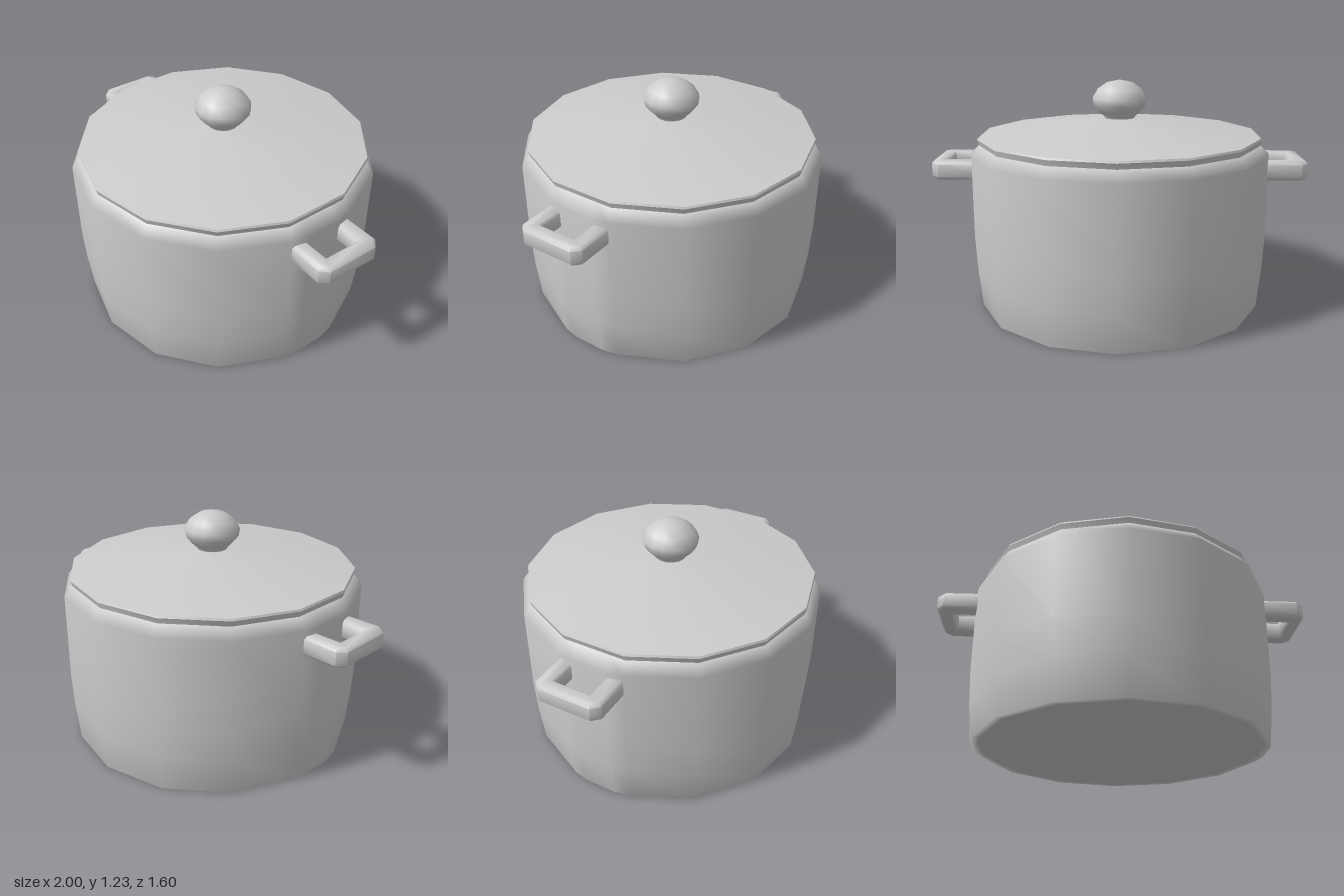
import * as THREE from 'three';
import { mergeVertices, toCreasedNormals } from 'three/addons/utils/BufferGeometryUtils.js';

const SIDES = 14;
const material = new THREE.MeshStandardMaterial({ color: 0xcccccc });
const toPoints = (profile) => profile.map(([r, y]) => new THREE.Vector2(r, y));

function addMesh(parent, name, geometry) {
  const mesh = new THREE.Mesh(geometry, material);
  mesh.name = name;
  parent.add(mesh);
  return mesh;
}

// Weld seams so normals run smoothly over the whole surface
function smooth(geometry) {
  geometry.deleteAttribute('uv');
  geometry.deleteAttribute('normal');
  const welded = mergeVertices(geometry, 1e-4);
  welded.computeVertexNormals();
  return welded;
}

// Fourteen-sided pot, with two extra columns on each side for a flat handle pad
function potGeometry() {
  const step = (Math.PI * 2) / SIDES;
  const columns = [];
  for (let i = 0; i <= SIDES; i++) {
    columns.push({ angle: i * step, pad: false });
    if (i === 3 || i === 10) {
      const middle = (i + 0.5) * step;
      columns.push({ angle: middle - 0.112, pad: true }, { angle: middle + 0.112, pad: true });
    }
  }
  const profile = [
    [0, 0], [0.73, 0], [0.77, 0], [0.79, 0.2], [0.8, 0.39],
    [0.8, 0.84], [0.76, 0.895], [0.7, 0.9], [0, 0.9],
  ];
  const geometry = new THREE.LatheGeometry(toPoints(profile), columns.length - 1);
  const position = geometry.attributes.position;
  for (let k = 0; k < position.count; k++) {
    const { angle, pad } = columns[Math.floor(k / profile.length)];
    const [r, y] = profile[k % profile.length];
    const radius = pad && y < 0.88 ? r * 1.005 : pad ? r * 0.981 : r;
    position.setXYZ(k, Math.sin(angle) * radius, y, Math.cos(angle) * radius);
  }
  return smooth(geometry);
}

// Square loop handle with chamfered corners and softened edges
function handleGeometry() {
  const bevel = 0.015;
  const outline = [
    [0.74, 0.165], [0.955, 0.165], [0.985, 0.135],
    [0.985, -0.135], [0.955, -0.165], [0.74, -0.165],
    [0.74, -0.11], [0.935, -0.11], [0.935, 0.11], [0.74, 0.11],
  ];
  const geometry = new THREE.ExtrudeGeometry(new THREE.Shape(toPoints(outline)), {
    depth: 0.1 - 2 * bevel, bevelEnabled: true, bevelThickness: bevel,
    bevelSize: bevel, bevelSegments: 1, steps: 1,
  });
  geometry.rotateX(-Math.PI / 2);
  geometry.translate(0, 0.71 + bevel, 0);
  return toCreasedNormals(geometry, 0.9);
}

export function createModel() {
  const group = new THREE.Group();
  group.name = 'cookingPot';

  addMesh(group, 'pot', potGeometry());

  // Shallow conical lid with a crisp rim
  const lid = new THREE.LatheGeometry(toPoints([
    [0, 0.895], [0.755, 0.895], [0.765, 0.925], [0.76, 0.935],
    [0.6, 0.957], [0.1, 1.02], [0, 1.02],
  ]), SIDES);
  addMesh(group, 'lid', toCreasedNormals(lid, 0.6));

  // Round knob on a narrow neck
  const knob = new THREE.LatheGeometry(toPoints([
    [0.085, 1.01], [0.08, 1.025], [0.112, 1.055], [0.141, 1.09],
    [0.148, 1.13], [0.12, 1.176], [0.07, 1.21], [0, 1.225],
  ]), SIDES);
  addMesh(group, 'lidKnob', smooth(knob));

  // Matching handles on both sides
  const handle = handleGeometry();
  addMesh(group, 'leftHandle', handle);
  addMesh(group, 'rightHandle', handle).rotation.y = Math.PI;

  return group;
}
